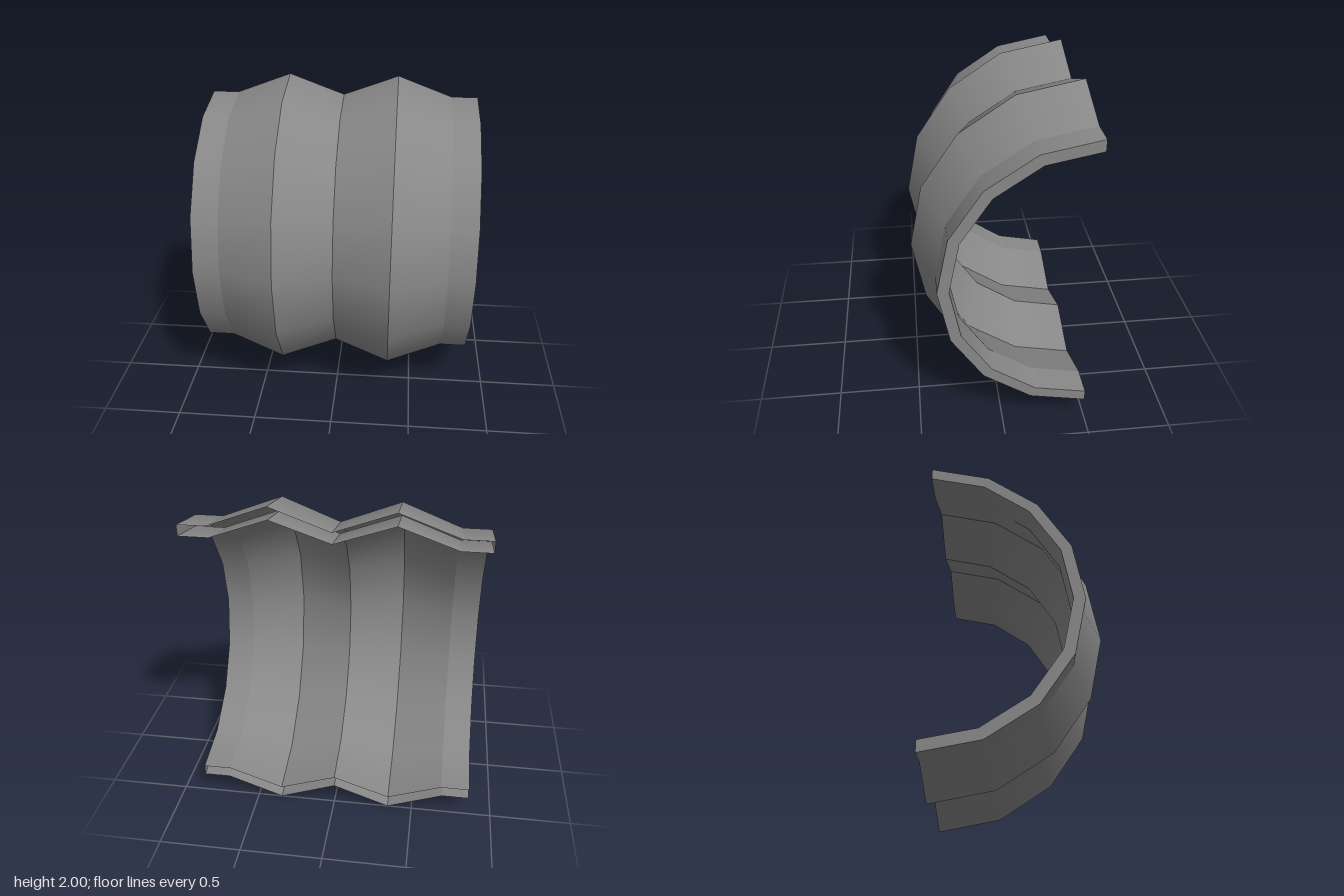
import * as THREE from 'three';
import { mergeGeometries } from 'three/addons/utils/BufferGeometryUtils.js';

export function createModel() {
  const group = new THREE.Group();
  // Both sides show, since the wall is hollow and open along its back edges
  const material = new THREE.MeshStandardMaterial({ color: 0x888888, side: THREE.DoubleSide });
  const add = (geometry, name) => {
    const mesh = new THREE.Mesh(geometry, material);
    mesh.name = name;
    group.add(mesh);
  };

  // Wall cross-section as (position along x, radius), both running left to right
  const outer = [[-0.855, 0.872], [-0.69, 0.872], [-0.347, 1], [0, 0.872],
    [0.347, 1], [0.69, 0.872], [0.855, 0.872]];
  const inner = [[-0.855, 0.805], [-0.68, 0.805], [-0.347, 0.925], [0, 0.805],
    [0.347, 0.925], [0.68, 0.805], [0.855, 0.805]];

  // Lathe axis turned onto x, arch opening towards the back
  const place = new THREE.Matrix4().set(
    0, 1, 0, 0,
    0, 0, 1, 1,
    1, 0, 0, -0.5,
    0, 0, 0, 1);

  // One half ring per profile edge: smooth around, crisp along the ridges
  const halfRings = (path) => mergeGeometries(path.slice(1).map((b, i) => {
    const pts = [path[i], b].map(([x, r]) => new THREE.Vector2(r, x));
    return new THREE.LatheGeometry(pts, 8, 0, Math.PI).applyMatrix4(place);
  }));

  add(halfRings(outer), 'outerCorrugation');
  add(halfRings([...inner].reverse()), 'innerCorrugation');

  // Rims closing the wall at both ends
  add(halfRings([inner[0], outer[0]]), 'rightRim');
  add(halfRings([outer[6], inner[6]]), 'leftRim');

  return group;
}
